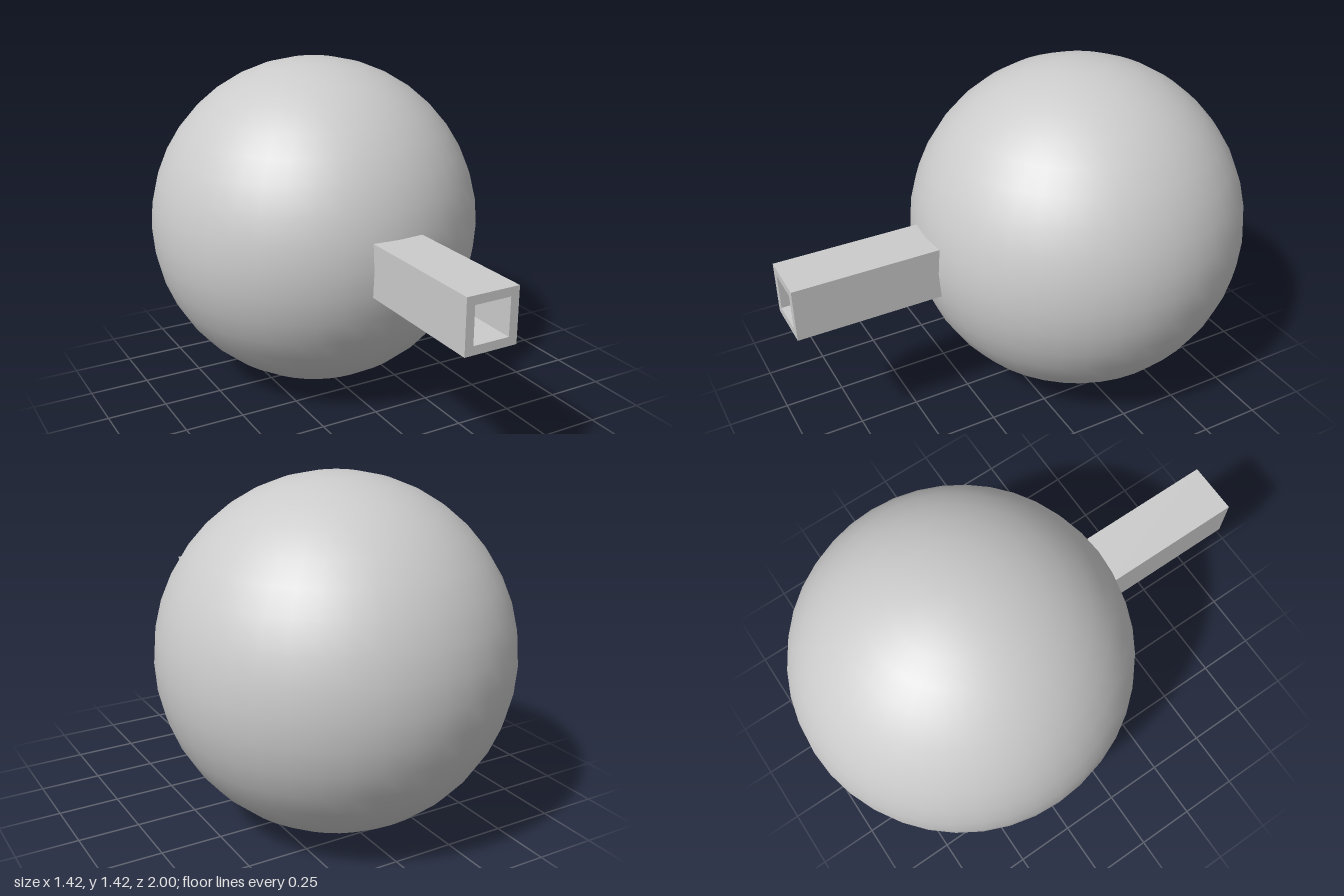
import * as THREE from 'three';

const R = 0.71; // ball radius

function squareOutline(Target, h) {
  return new Target([[-h, -h], [h, -h], [h, h], [-h, h]].map(([x, y]) => new THREE.Vector2(x, y)));
}

export function createModel() {
  const group = new THREE.Group();
  const material = new THREE.MeshStandardMaterial({ color: 0xcccccc });

  // Smooth ball at the back
  const ball = new THREE.Mesh(new THREE.SphereGeometry(R, 40, 20), material);
  ball.name = 'ball';
  ball.position.set(0, R, R - 1);
  group.add(ball);

  // Hollow square tube pointing forward, rooted just inside the ball
  const section = squareOutline(THREE.Shape, 0.11);
  section.holes.push(squareOutline(THREE.Path, 0.075));
  const start = 0.35;
  const tube = new THREE.Mesh(
    new THREE.ExtrudeGeometry(section, { depth: 1 - start, bevelEnabled: false }), material);
  tube.name = 'squareTube';
  tube.position.set(0, R, start);
  group.add(tube);

  return group;
}
